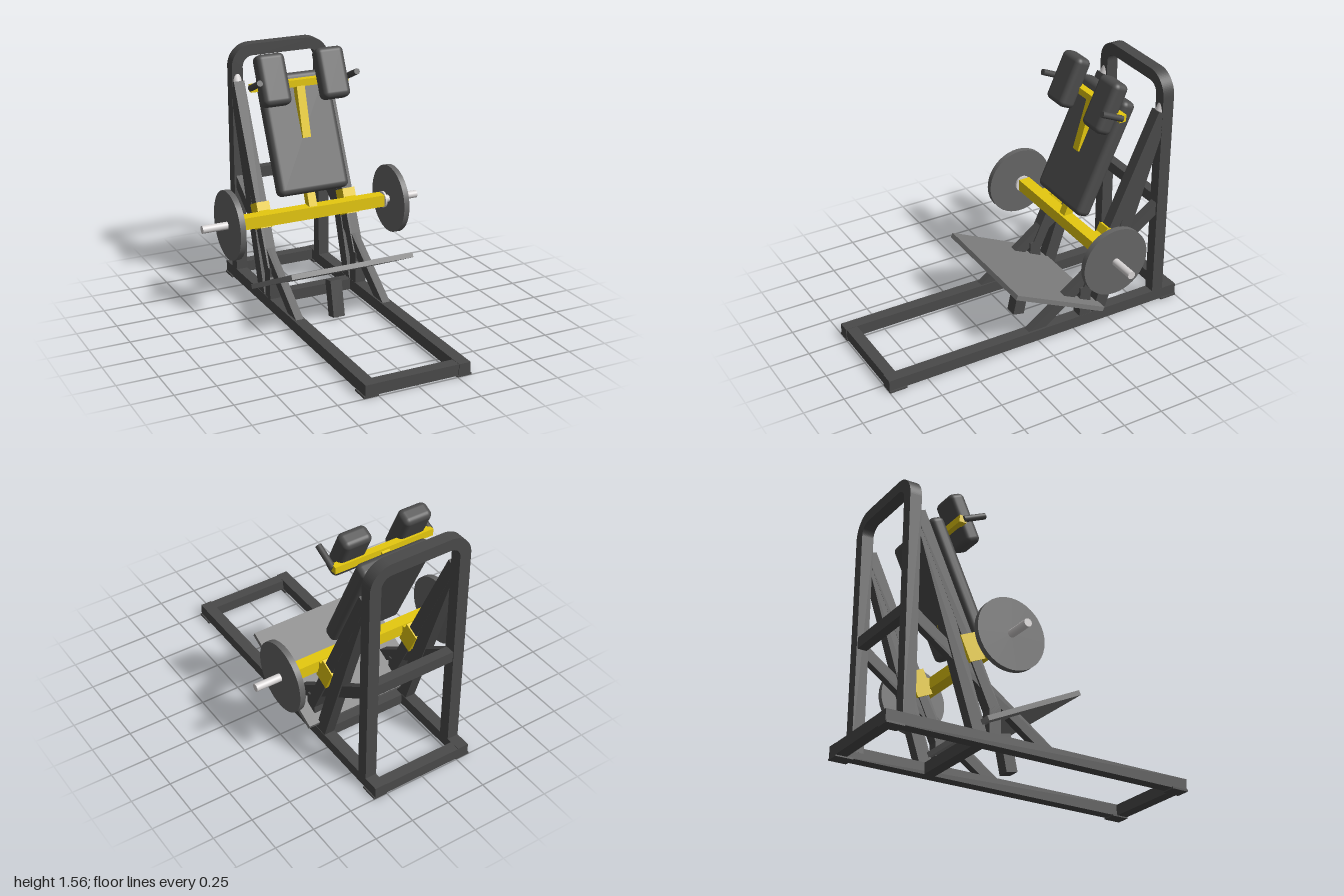
import * as THREE from 'three';
import { RoundedBoxGeometry } from 'three/addons/geometries/RoundedBoxGeometry.js';

const material = (name, color) => Object.assign(new THREE.MeshStandardMaterial({ color }), { name });

export function createModel() {
  const group = new THREE.Group();
  const frame = material('frame charcoal', 0x4a4a4a);
  const padding = material('padding charcoal', 0x4d4d4d);
  const yellow = material('carriage yellow', 0xe6c90f);
  const iron = material('plate grey', 0x666666);
  const tread = material('platform grey', 0x7c7c7c);
  const chrome = material('chrome', 0xd9d6d6);

  const add = (name, geometry, mat, x = 0, y = 0, z = 0) => {
    const mesh = new THREE.Mesh(geometry, mat);
    mesh.name = name;
    mesh.position.set(x, y, z);
    group.add(mesh);
    return mesh;
  };
  const box = (name, mat, w, h, d, x, y, z) =>
    add(name, new THREE.BoxGeometry(w, h, d), mat, x, y, z);

  // Places a part whose long axis (its z) runs between two [z, y] points
  const lean = (name, mat, x, from, to, make) => {
    const dz = to[0] - from[0], dy = to[1] - from[1];
    const mesh = add(name, make(Math.hypot(dz, dy)), mat, x, (from[1] + to[1]) / 2, (from[0] + to[0]) / 2);
    mesh.rotation.x = -Math.atan2(dy, dz);
    return mesh;
  };
  const bar = (name, mat, x, w, t, from, to) =>
    lean(name, mat, x, from, to, (l) => new THREE.BoxGeometry(w, t, l));
  const cushion = (name, x, w, t, r, from, to) =>
    lean(name, padding, x, from, to, (l) => new RoundedBoxGeometry(w, t, l, 4, r));
  const rod = (name, mat, x, r, from, to) =>
    lean(name, mat, x, from, to, (l) => new THREE.CylinderGeometry(r, r, l, 20).rotateX(Math.PI / 2));
  const disc = (name, mat, r, length, x, y, z) =>
    add(name, new THREE.CylinderGeometry(r, r, length, 40).rotateZ(Math.PI / 2), mat, x, y, z);

  // Base cross members
  for (const z of [0.96, -0.4, -0.965]) box('baseCrossbar', frame, 0.54, 0.07, 0.07, 0, 0.043, z);

  // Rear hoop: two posts joined by a rounded top
  const hoop = new THREE.Shape();
  hoop.moveTo(-0.33, 0.05);
  hoop.lineTo(-0.33, 1.42);
  hoop.absarc(-0.19, 1.42, 0.14, Math.PI, Math.PI / 2, true);
  hoop.lineTo(0.19, 1.56);
  hoop.absarc(0.19, 1.42, 0.14, Math.PI / 2, 0, true);
  hoop.lineTo(0.33, 0.05);
  hoop.lineTo(0.257, 0.05);
  hoop.lineTo(0.257, 1.42);
  hoop.absarc(0.19, 1.42, 0.067, 0, Math.PI / 2, false);
  hoop.lineTo(-0.19, 1.487);
  hoop.absarc(-0.19, 1.42, 0.067, Math.PI / 2, Math.PI, false);
  hoop.lineTo(-0.257, 0.05);
  add('rearHoop', new THREE.ExtrudeGeometry(hoop, { depth: 0.075, bevelEnabled: false, curveSegments: 12 }), frame, 0, 0, -0.9);
  box('rearCrossbar', frame, 0.53, 0.07, 0.06, 0, 0.715, -0.865);

  // Foot platform and its stop
  bar('footPlatform', tread, 0, 0.8, 0.03, [0.195, 0.422], [-0.415, 0.13]);
  bar('platformStop', frame, 0, 0.075, 0.075, [-0.03, 0.01], [-0.077, 0.235]);

  for (const s of [-1, 1]) {
    const x = s * 0.294;
    // Base rail with end feet
    box('baseRail', frame, 0.073, 0.072, 2, x, 0.044, 0);
    for (const z of [0.945, -0.945]) box('foot', frame, 0.09, 0.012, 0.11, x, 0.006, z);

    // Guide rail, strut, stub and diagonal brace
    bar('guideRail', frame, x, 0.07, 0.07, [-0.317, 0.2], [-0.832, 1.325]);
    rod('guideRodEnd', chrome, x, 0.03, [-0.8, 1.255], [-0.86, 1.386]);
    bar('railStrut', frame, x, 0.068, 0.085, [-0.42, 0.06], [-0.797, 1.22]);
    box('railStub', frame, 0.07, 0.22, 0.075, x, 0.17, -0.327);
    bar('diagonalBrace', frame, s * 0.292, 0.05, 0.07, [0.06, 0.04], [-0.86, 0.7]);

    // Carriage sleeve, weight horn and plate
    bar('carriageSleeve', yellow, x, 0.085, 0.105, [-0.445, 0.49], [-0.512, 0.637]);
    box('sleeveBracket', yellow, 0.07, 0.07, 0.1, x, 0.575, -0.42);
    disc('hornCollar', chrome, 0.052, 0.012, s * 0.494, 0.578, -0.373);
    disc('weightHorn', chrome, 0.024, 0.24, s * 0.61, 0.578, -0.373);
    disc('weightPlate', iron, 0.216, 0.036, s * 0.549, 0.578, -0.373);

    // Shoulder pad and hand grip
    cushion('shoulderPad', s * 0.197, 0.184, 0.108, 0.035, [-0.443, 1.26], [-0.575, 1.55]);
    rod('handGrip', frame, s * 0.322, 0.019, [-0.405, 1.425], [-0.545, 1.362]);
  }

  // Carriage: lower beam, spine, back pad, upper yoke
  box('carriageBeam', yellow, 0.98, 0.075, 0.075, 0, 0.578, -0.378);
  bar('carriageSpine', yellow, 0, 0.054, 0.055, [-0.375, 0.59], [-0.482, 0.85]);
  cushion('backPad', 0, 0.47, 0.098, 0.035, [-0.357, 0.71], [-0.67, 1.39]);
  box('shoulderYoke', yellow, 0.65, 0.044, 0.044, 0, 1.36, -0.55);
  bar('yokeArm', yellow, 0, 0.054, 0.05, [-0.465, 1.03], [-0.562, 1.37]);

  return group;
}
